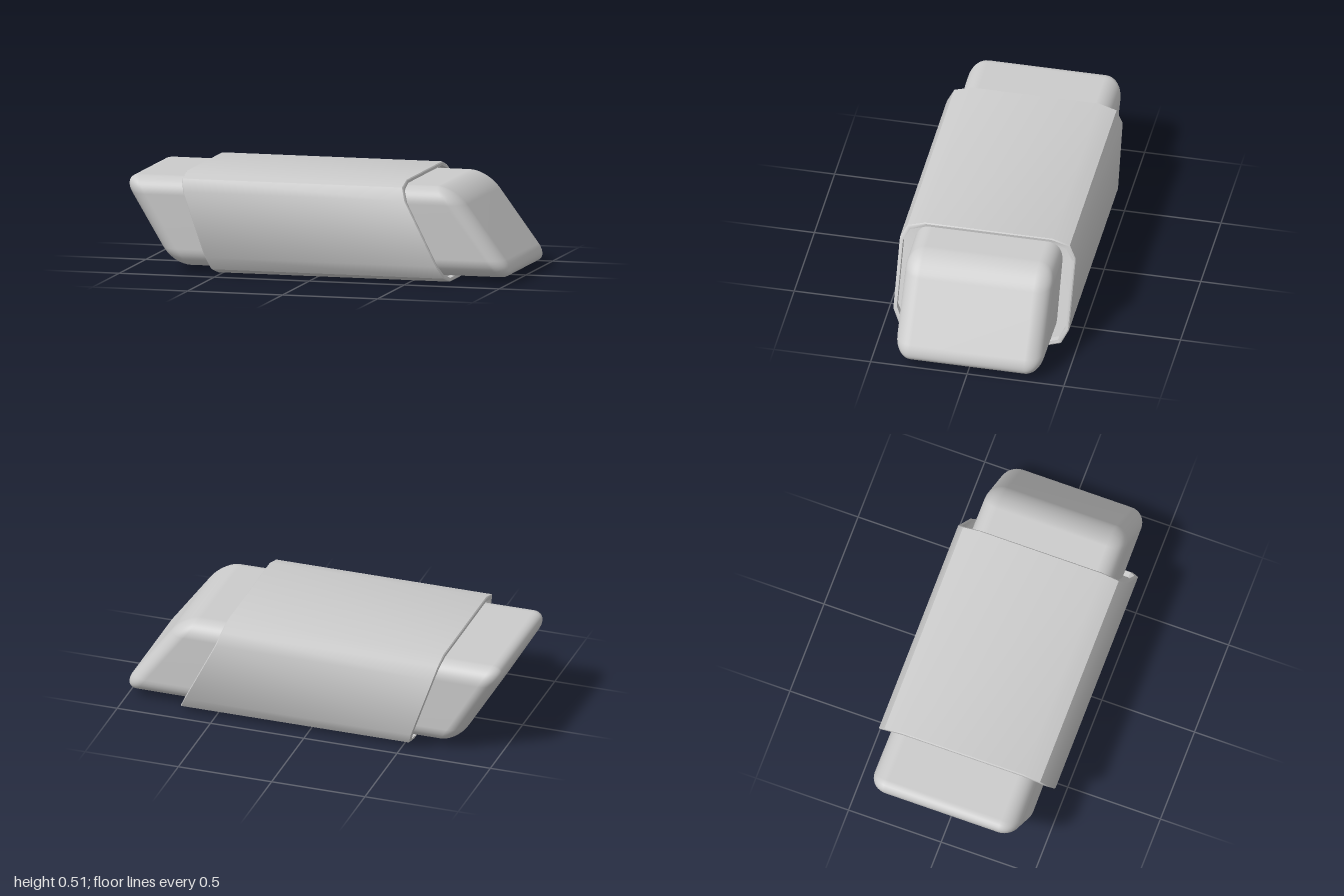
import * as THREE from 'three';
import { mergeVertices, toCreasedNormals } from 'three/addons/utils/BufferGeometryUtils.js';
import { RoundedBoxGeometry } from 'three/addons/geometries/RoundedBoxGeometry.js';

const MID = 0.26; // height of the long axis

// Piecewise linear lookup through [y, x] knots
function lookup(knots, y) {
  let i = 1;
  while (i < knots.length - 1 && y > knots[i][0]) i++;
  const [a, b] = [knots[i - 1], knots[i]];
  return a[1] + (b[1] - a[1]) * THREE.MathUtils.clamp((y - a[0]) / (b[0] - a[0]), 0, 1);
}

// Rounded block whose two ends lean by different slopes
function eraserGeometry() {
  const left = -0.9, right = 0.878;
  const g = new RoundedBoxGeometry(right - left, 0.455, 0.78, 5, 0.09);
  g.deleteAttribute('uv');
  g.deleteAttribute('normal');
  const p = g.attributes.position;
  for (let i = 0; i < p.count; i++) {
    const x = p.getX(i), y = p.getY(i);
    const lean = x < 0 ? 0.6 : 0.74;
    const widen = x < 0 ? 1.015 : 0.98; // right end is slightly narrower
    p.setXYZ(i, x + (left + right) / 2 - lean * y, y + MID, p.getZ(i) * widen);
  }
  const merged = mergeVertices(g, 1e-4);
  merged.computeVertexNormals();
  return merged;
}

// Chamfered sleeve with slanted ends, a thin rim and a shallow recess
function sleeveGeometry() {
  const corner = [[0.455, 0.165], [0.42, 0.229], [0.33, 0.257]];
  const mirrored = corner.map(([z, y]) => [-z, y]).reverse();
  const half = [...corner, ...mirrored];
  const profile = [...half, ...half.map(([z, y]) => [-z, -y])];
  const leftEnd = [[0, -0.53], [0.03, -0.54], [0.43, -0.68], [0.49, -0.695], [0.518, -0.695]];
  const rightEnd = [[0, 0.697], [0.03, 0.69], [0.43, 0.49], [0.49, 0.47], [0.518, 0.47]];

  // [inset from the outer profile, depth into the sleeve]
  const rim = [[0.12, 0.03], [0.018, 0.03], [0.018, 0], [0.005, 0], [0, 0.005]];
  const rows = [
    ...rim.map(([inset, depth]) => [leftEnd, inset, depth]),
    ...rim.slice().reverse().map(([inset, depth]) => [rightEnd, inset, -depth]),
  ];

  const positions = [], index = [], n = profile.length;
  rows.forEach(([end, inset, shift], r) => {
    profile.forEach(([z, y], j) => {
      const h = MID + y * (1 - inset / 0.257);
      positions.push(lookup(end, h) + shift, h, z * (1 - inset / 0.455));
      if (r < rows.length - 1) {
        const a = r * n + j, b = r * n + (j + 1) % n;
        index.push(a, a + n, b, b, a + n, b + n);
      }
    });
  });
  const g = new THREE.BufferGeometry();
  g.setAttribute('position', new THREE.Float32BufferAttribute(positions, 3));
  g.setIndex(index);
  return toCreasedNormals(g, 0.7);
}

export function createModel() {
  const group = new THREE.Group();
  group.name = 'eraser';
  const material = new THREE.MeshStandardMaterial({ color: 0xcccccc });
  const add = (name, geometry) => {
    const mesh = new THREE.Mesh(geometry, material);
    mesh.name = name;
    group.add(mesh);
  };
  add('rubberBlock', eraserGeometry());
  add('sleeve', sleeveGeometry());
  return group;
}
